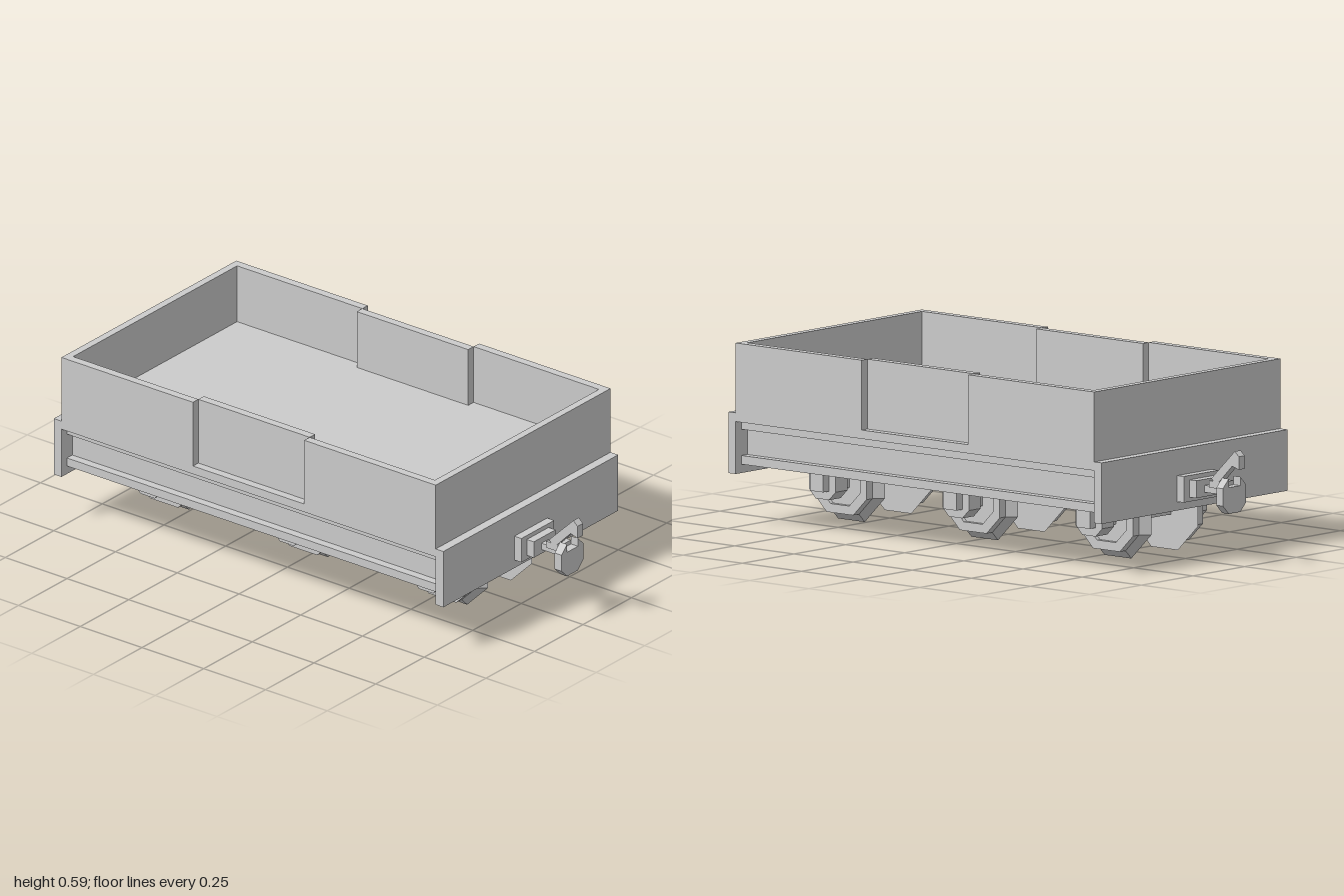
import * as THREE from 'three';

const U = 1 / 35.5; // all sizes below are in this grid unit
const grey = new THREE.MeshStandardMaterial({ color: 0xcbcbcb, flatShading: true });
grey.name = 'grey';

function add(parent, name, geometry) {
  const mesh = new THREE.Mesh(geometry, grey);
  mesh.name = name;
  parent.add(mesh);
  return mesh;
}

// Box given by its extents on each axis
function box(parent, name, [x0, x1], [y0, y1], [z0, z1]) {
  const mesh = add(parent, name, new THREE.BoxGeometry((x1 - x0) * U, (y1 - y0) * U, (z1 - z0) * U));
  mesh.position.set((x0 + x1) / 2 * U, (y0 + y1) / 2 * U, (z0 + z1) / 2 * U);
  return mesh;
}

// Flat outline pushed out along z
function plate(parent, name, outline, depth) {
  const shape = new THREE.Shape(outline.map(([x, y]) => new THREE.Vector2(x * U, y * U)));
  return add(parent, name, new THREE.ExtrudeGeometry(shape, { depth: depth * U, bevelEnabled: false }));
}

// Eight-sided part lofted along z through rings of [half width, half flat, z]
function octagon(parent, name, profile) {
  const rings = profile.map(([h, f, z]) =>
    [[h, -f], [h, f], [f, h], [-f, h], [-h, f], [-h, -f], [-f, -h], [f, -h]]
      .map(([x, y]) => [x * U, y * U, z * U]));
  const positions = [];
  for (let i = 0; i + 1 < rings.length; i++) {
    for (let j = 0; j < 8; j++) {
      const k = (j + 1) % 8;
      const a = rings[i][j], b = rings[i][k], c = rings[i + 1][k], d = rings[i + 1][j];
      if (profile[i][0] > 0) positions.push(...a, ...b, ...c);
      if (profile[i + 1][0] > 0) positions.push(...a, ...c, ...d);
    }
  }
  const geometry = new THREE.BufferGeometry();
  geometry.setAttribute('position', new THREE.Float32BufferAttribute(positions, 3));
  geometry.computeVertexNormals();
  return add(parent, name, geometry);
}

function group(parent, name) {
  const g = new THREE.Group();
  g.name = name;
  parent.add(g);
  return g;
}

// One long side: wall panels, recessed door and sole bar
function buildSide(parent) {
  const side = group(parent, 'side');
  for (const x of [[-26.9, -8], [8, 26.9]]) box(side, 'sideWall', x, [13, 21], [15, 16]);
  box(side, 'doorSill', [-26.9, 26.9], [12, 13], [15, 16]);
  box(side, 'door', [-8, 8], [13, 21], [14, 15]);
  box(side, 'soleBarTop', [-27, 27], [11, 12], [13, 15]);
  box(side, 'soleBarWeb', [-27, 27], [8, 11], [13.5, 14]);
  box(side, 'soleBarBottom', [-27, 27], [7, 8], [13, 15]);
  return side;
}

// One end: wall, headstock and coupling
function buildEnd(parent) {
  const end = group(parent, 'end');
  box(end, 'endWall', [26, 26.9], [13, 21], [-16, 16]);
  box(end, 'headstock', [26.9, 28], [6, 13], [-16, 16]);
  box(end, 'couplingPlate', [28, 29], [7, 10], [-3, 3]);
  box(end, 'couplingBlock', [29, 30], [7.5, 9.5], [-2, 2]);
  box(end, 'couplingShaft', [30, 33], [8, 8.8], [-0.6, 0.6]);
  box(end, 'couplingPin', [31, 33], [8.7, 9.5], [-1, 1]);
  // Notched disc that the hook lies over
  const disc = plate(end, 'bufferDisc', [[-1, 6], [1, 6], [2, 7], [2, 9], [1, 10], [1, 9],
    [-1, 9], [-1, 10], [-2, 9], [-2, 7]], 1);
  disc.rotation.y = Math.PI / 2;
  disc.position.x = 33 * U;
  plate(end, 'hook', [[32.1, 9.05], [34.5, 11.5], [35.5, 11.2], [35.5, 12.7], [34.9, 13.25], [31.4, 9.8]], 1);
  return end;
}

// Axle with two flanged wheels, axle boxes and slanted hangers
function buildWheelset(parent, x) {
  const set = group(parent, 'wheelset');
  set.position.set(x * U, 5 * U, 0);
  box(set, 'axle', [-1, 1], [-1, 1], [-10, 10]);
  for (const turn of [0, Math.PI]) {
    const half = group(set, 'wheelSide');
    half.rotation.y = turn;
    octagon(half, 'wheel', [[0, 0, 4], [5, 2, 4], [4, 2, 5], [4, 2, 6],
      [3, 1.4, 6], [3, 1.4, 5.5], [0, 0, 5.5]]);
    octagon(half, 'axleBox', [[0, 0, 7], [2, 1, 7], [2, 1, 9], [0, 0, 9]]);
    for (const s of [-1, 1]) {
      const strut = add(half, 'hanger', new THREE.BoxGeometry(U, 8.5 * U, U));
      strut.position.set(s * 4.1 * U, 4.1 * U, 8 * U);
      strut.rotation.z = -s * Math.PI / 4;
    }
  }
}

export function createModel() {
  const model = new THREE.Group();
  model.name = 'wagon';
  box(model, 'floor', [-26.9, 26.9], [12, 14], [-15, 15]);
  for (const turn of [0, Math.PI]) {
    buildSide(model).rotation.y = turn;
    buildEnd(model).rotation.y = turn;
  }
  for (const x of [-20, 0, 20]) buildWheelset(model, x);
  return model;
}
